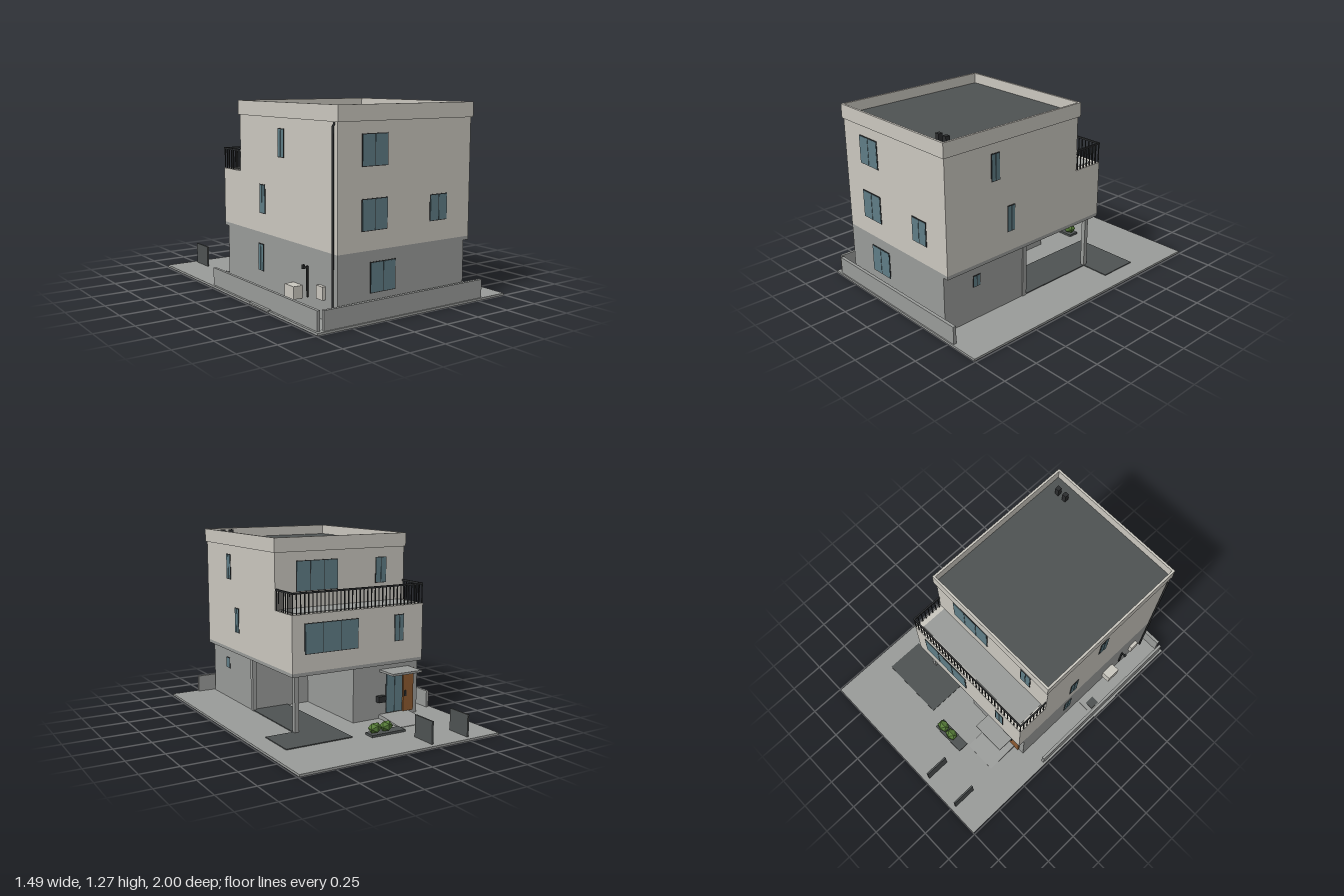
import * as THREE from 'three';

const mat = (name, color) => {
  const m = new THREE.MeshStandardMaterial({ color });
  m.name = name;
  return m;
};

export function createModel() {
  const house = new THREE.Group();
  house.name = 'house';

  const plaster = mat('light plaster', 0xcac7bf);
  const concrete = mat('grey concrete', 0x999b99);
  const dark = mat('dark roofing', 0x4e5252);
  const metal = mat('black metal', 0x2b2d2e);
  const glass = mat('blue glass', 0x5f7d86);
  const wood = mat('brown wood', 0x8c5a30);
  const leaf = mat('green leaf', 0x567c38);

  const add = (name, geometry, material, parent = house) => {
    const mesh = new THREE.Mesh(geometry, material);
    mesh.name = name;
    parent.add(mesh);
    return mesh;
  };
  // Box given by its limits on each axis
  const box = (name, material, x0, x1, y0, y1, z0, z1, parent = house) => {
    const mesh = add(name, new THREE.BoxGeometry(x1 - x0, y1 - y0, z1 - z0), material, parent);
    mesh.position.set((x0 + x1) / 2, (y0 + y1) / 2, (z0 + z1) / 2);
    return mesh;
  };

  // Plot, paving and boundary walls
  box('plot', concrete, -0.74, 0.74, 0, 0.015, -1, 1);
  box('driveway', dark, 0.13, 0.61, 0.012, 0.021, -0.6, -0.32);
  box('carportFloor', dark, 0.13, 0.41, 0.012, 0.021, -0.32, 0.28);
  box('sidePad', concrete, -0.745, -0.59, 0.008, 0.02, 0.24, 0.475);
  box('drainCover', dark, -0.685, -0.625, 0.018, 0.028, 0.27, 0.34);
  box('frontWall', concrete, -0.69, 0.54, 0.015, 0.135, 0.97, 0.992);
  box('sideWall', concrete, -0.725, -0.705, 0.015, 0.135, -0.28, 0.975);

  // Ground floor with an open carport at the back left
  box('groundFloorFront', concrete, -0.57, 0.41, 0.015, 0.4, 0.28, 0.95);
  box('groundFloorBack', concrete, -0.57, -0.04, 0.015, 0.4, -0.34, 0.28);
  box('carportColumn', concrete, 0.38, 0.41, 0.015, 0.4, -0.345, -0.315);
  box('wallPier', concrete, 0.385, 0.416, 0.015, 0.4, 0.262, 0.295);

  // Upper floors
  box('floorSlab', concrete, -0.57, 0.45, 0.4, 0.424, -0.39, 0.95);
  box('secondFloor', plaster, -0.57, 0.45, 0.424, 0.8, -0.39, 0.95);
  box('thirdFloor', plaster, -0.57, 0.45, 0.8, 1.18, -0.16, 0.95);
  box('balconyFloor', concrete, -0.53, 0.41, 0.798, 0.804, -0.35, -0.16);

  // Flat roof and parapet
  box('roof', dark, -0.56, 0.445, 1.18, 1.2, -0.16, 0.945);
  box('parapetFront', plaster, -0.575, 0.46, 1.175, 1.27, 0.945, 0.96);
  box('parapetBack', plaster, -0.575, 0.46, 1.175, 1.27, -0.175, -0.16);
  box('parapetRight', plaster, -0.575, -0.56, 1.175, 1.27, -0.16, 0.945);
  box('parapetLeft', plaster, 0.445, 0.46, 1.175, 1.27, -0.16, 0.945);
  for (const x of [0.28, 0.345]) {
    box('roofVent', metal, x, x + 0.03, 1.2, 1.265, 0.84, 0.87);
  }

  // Balcony railing
  const railing = new THREE.Group();
  railing.name = 'balconyRailing';
  house.add(railing);
  const r = 0.003, left = 0.445, right = -0.565, back = -0.385;
  const bar = (x, z) => box('railingBar', metal, x - r, x + r, 0.8, 0.935, z - r, z + r, railing);
  for (let i = 0; i <= 34; i++) bar(right + (left - right) * i / 34, back);
  for (const x of [left, right]) {
    for (let i = 1; i <= 7; i++) bar(x, back + 0.03 * i);
    box('sideRail', metal, x - 0.005, x + 0.005, 0.93, 0.942, back, -0.16, railing);
  }
  box('backRail', metal, right - 0.005, left + 0.005, 0.93, 0.942, back - 0.005, back + 0.005, railing);

  // Window: thin dark frame with a row of panes, turned to face its wall
  const turns = { front: 0, left: Math.PI / 2, back: Math.PI, right: -Math.PI / 2 };
  const window = (side, plane, a0, a1, y0, y1, panes) => {
    const g = new THREE.Group();
    g.name = side + 'Window';
    const w = a1 - a0, h = y1 - y0, mid = (a0 + a1) / 2, e = 0.005;
    box('frame', metal, -w / 2, w / 2, -h / 2, h / 2, -0.002, 0.003, g);
    const step = (w - e) / panes;
    for (let i = 0; i < panes; i++) {
      const x = -w / 2 + e + i * step;
      box('pane', glass, x, x + step - e, -h / 2 + e, h / 2 - e, 0, 0.005, g);
    }
    g.rotation.y = turns[side];
    const along = side === 'front' || side === 'back';
    g.position.set(along ? mid : plane, (y0 + y1) / 2, along ? plane : mid);
    house.add(g);
  };
  [
    ['front', 0.95, -0.4, -0.21, 0.915, 1.105, 2],
    ['front', 0.95, -0.4, -0.21, 0.54, 0.73, 2],
    ['front', 0.95, 0.12, 0.26, 0.55, 0.715, 2],
    ['front', 0.95, -0.335, -0.145, 0.168, 0.355, 2],
    ['left', 0.45, 0.525, 0.595, 0.93, 1.11, 2],
    ['left', 0.45, 0.4, 0.465, 0.557, 0.735, 2],
    ['left', 0.41, 0.66, 0.72, 0.245, 0.325, 2],
    ['right', -0.57, 0.32, 0.39, 0.93, 1.11, 2],
    ['right', -0.57, 0.09, 0.16, 0.55, 0.74, 2],
    ['right', -0.57, 0.07, 0.135, 0.17, 0.35, 2],
    ['back', -0.16, -0.025, 0.295, 0.91, 1.115, 3],
    ['back', -0.16, -0.42, -0.33, 0.93, 1.11, 2],
    ['back', -0.39, -0.045, 0.36, 0.54, 0.742, 3],
    ['back', -0.39, -0.41, -0.335, 0.557, 0.74, 2],
    ['back', -0.34, -0.445, -0.305, 0.045, 0.345, 2],
  ].forEach((w) => window(...w));

  // Entrance: door, canopy, letter box and ramp
  box('door', wood, -0.53, -0.446, 0.04, 0.345, -0.354, -0.338);
  box('doorHandle', metal, -0.466, -0.452, 0.15, 0.19, -0.362, -0.353);
  box('canopy', concrete, -0.49, -0.25, 0.345, 0.36, -0.5, -0.34);
  box('letterBox', metal, -0.285, -0.225, 0.135, 0.178, -0.377, -0.34);
  const slope = new THREE.Shape([[-0.34, 0.012], [-0.34, 0.043], [-0.4, 0.04], [-0.59, 0.018], [-0.59, 0.012]]
    .map(([z, y]) => new THREE.Vector2(z, y)));
  const ramp = add('entranceRamp', new THREE.ExtrudeGeometry(slope, { depth: 0.24, bevelEnabled: false }), concrete);
  ramp.rotation.y = -Math.PI / 2;
  ramp.position.x = -0.25;

  // Planter with two low-poly bushes
  box('planter', dark, -0.235, 0.025, 0.012, 0.03, -0.67, -0.59);
  const leafFlat = leaf;
  leafFlat.flatShading = true;
  for (const x of [-0.108, -0.02]) {
    const bush = add('bush', new THREE.IcosahedronGeometry(0.048, 0), leafFlat);
    bush.scale.set(1, 0.8, 0.85);
    bush.position.set(x, 0.063, -0.63);
  }

  // Two standing screens near the back edge
  for (const x of [-0.51, -0.225]) {
    box('screen', dark, x - 0.006, x + 0.006, 0.015, 0.163, -0.965, -0.79);
  }

  // Services along the right wall
  box('airConditioner', plaster, -0.635, -0.57, 0.095, 0.175, 0.49, 0.59);
  box('meterBox', plaster, -0.594, -0.57, 0.14, 0.22, 0.77, 0.835);
  box('lampPole', metal, -0.586, -0.576, 0.12, 0.31, 0.655, 0.665);
  box('lampArm', metal, -0.615, -0.576, 0.298, 0.308, 0.655, 0.665);
  box('lampHead', metal, -0.617, -0.603, 0.296, 0.322, 0.652, 0.668);
  const pipePath = new THREE.CatmullRomCurve3([
    [-0.565, 1.175], [-0.577, 1.165], [-0.58, 1.14], [-0.58, 0.6], [-0.58, 0.015],
  ].map(([x, y]) => new THREE.Vector3(x, y, 0.917)), false, 'catmullrom', 0.2);
  add('downpipe', new THREE.TubeGeometry(pipePath, 32, 0.007, 8), metal);

  return house;
}
